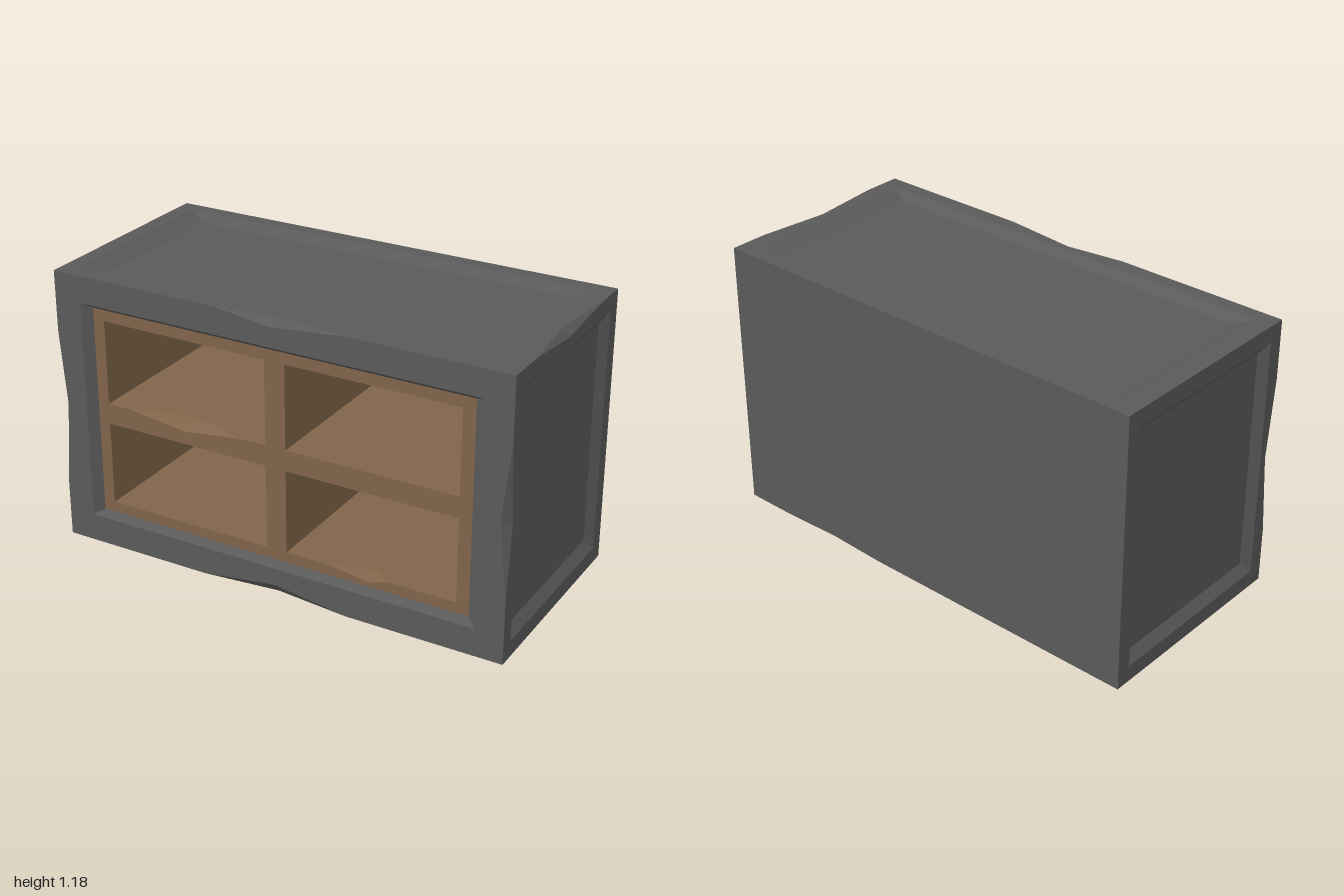
import * as THREE from 'three';
import { mergeGeometries } from 'three/addons/utils/BufferGeometryUtils.js';

const W = 1, H = 1.185, D = 0.465;   // half width, height, half depth
const INSET = 0.03;                  // depth of the recessed panels
const V = (x, y, z) => new THREE.Vector3(x, y, z);

// Flat polygon with holes, wound so that it faces along "out"
function poly(points, out, holes = []) {
  const a = [Math.abs(out.x), Math.abs(out.y), Math.abs(out.z)];
  const drop = a.indexOf(Math.max(...a));
  const to2D = p => new THREE.Vector2(...[p.x, p.y, p.z].filter((_, i) => i !== drop));
  const contour = points.map(to2D);
  const flip = THREE.ShapeUtils.isClockWise(contour);
  const ring = flip ? [...points].reverse() : points;
  const inner = holes.map(h => THREE.ShapeUtils.isClockWise(h.map(to2D)) ? h : [...h].reverse());
  const all = [ring, ...inner].flat();
  const pos = [];
  for (const f of THREE.ShapeUtils.triangulateShape(ring.map(to2D), inner.map(h => h.map(to2D)))) {
    let [p, q, r] = f.map(i => all[i]);
    const n = q.clone().sub(p).cross(r.clone().sub(p));
    if (n.dot(out) < 0) [q, r] = [r, q];
    for (const v of [p, q, r]) pos.push(v.x, v.y, v.z);
  }
  const g = new THREE.BufferGeometry();
  g.setAttribute('position', new THREE.Float32BufferAttribute(pos, 3));
  g.computeVertexNormals();
  return g;
}

// Two facets cut across an edge from a to b, with tips c and d on the two faces
const chipFacets = ({ a, b, c, d }, out) => [poly([a, c, d], out), poly([c, b, d], out)];

// Rectangle corners plus any chip tips that lie along its sides
function notched(corners, notches) {
  const result = [];
  corners.forEach((p, i) => {
    const q = corners[(i + 1) % corners.length], len = p.distanceTo(q);
    result.push(p);
    for (const [a, tip, b] of notches) {
      const onSide = v => Math.abs(p.distanceTo(v) + v.distanceTo(q) - len) < 1e-4;
      if (onSide(a) && onSide(b)) {
        result.push(...(p.distanceTo(a) < p.distanceTo(b) ? [a, tip, b] : [b, tip, a]));
      }
    }
  });
  return result;
}

export function createModel() {
  const group = new THREE.Group();
  const stone = new THREE.MeshStandardMaterial({ color: 0x5a5a5a });
  stone.name = 'dark grey';
  const wood = new THREE.MeshStandardMaterial({ color: 0x80644a });
  wood.name = 'brown wood';
  const add = (name, geos, material) => {
    const mesh = new THREE.Mesh(mergeGeometries(geos), material);
    mesh.name = name;
    group.add(mesh);
  };

  // Chips in the casing edges
  const chips = [
    { a: V(-0.25, H, D), b: V(0.32, H, D), c: V(0, 1.153, D), d: V(0, H, 0.43) },
    { a: V(-0.33, 0, D), b: V(0.33, 0, D), c: V(0, 0.045, D), d: V(0, 0, 0.43) },
    { a: V(W, 0.28, D), b: V(W, 0.92, D), c: V(0.965, 0.59, D), d: V(W, 0.59, 0.432) },
    { a: V(-W, 0.24, D), b: V(-W, 0.93, D), c: V(-0.96, 0.59, D), d: V(-W, 0.59, 0.432) },
    { a: V(W, H, -0.3), b: V(W, H, 0.3), c: V(W, 1.155, 0), d: V(0.967, H, 0) },
    { a: V(0.25, 0, -D), b: V(0.78, 0, -D), c: V(0.5, 0.01, -D), d: V(0.5, 0, -0.42) },
  ];

  // Casing sides: [name, normal, map (u, v, depth) to space, face, recess rim, recess floor]
  const sides = [
    ['frontFrame', V(0, 0, 1), (u, v, d) => V(u, v, D - d),
      [-W, W, 0, H], [-0.88, 0.88, 0.12, 1.07], [-0.84, 0.84, 0.145, 1.048]],
    ['backPanel', V(0, 0, -1), (u, v, d) => V(u, v, d - D), [-W, W, 0, H]],
    ['topPanel', V(0, 1, 0), (u, v, d) => V(u, H - d, v),
      [-W, W, -D, D], [-0.93, 0.93, -0.4, 0.4], [-0.85, 0.85, -0.362, 0.362]],
    ['bottomPanel', V(0, -1, 0), (u, v, d) => V(u, d, v),
      [-W, W, -D, D], [-0.93, 0.93, -0.4, 0.4], [-0.85, 0.85, -0.362, 0.362]],
  ];
  for (const s of [1, -1]) {
    sides.push([s > 0 ? 'leftPanel' : 'rightPanel', V(s, 0, 0), (u, v, d) => V(s * (W - d), v, u),
      [-D, D, 0, H], [-0.4, 0.4, 0.07, 1.115], [-0.362, 0.362, 0.115, 1.07]]);
  }
  const rect = ([u0, u1, v0, v1], map, d) => [map(u0, v0, d), map(u1, v0, d), map(u1, v1, d), map(u0, v1, d)];

  for (const [name, normal, map, face, rim, floor] of sides) {
    const corners = rect(face, map, 0);
    const onFace = v => Math.abs(v.clone().sub(corners[0]).dot(normal)) < 1e-5;
    const notches = chips.filter(k => onFace(k.a) && onFace(k.b))
      .map(k => [k.a, onFace(k.c) ? k.c : k.d, k.b]);
    const outline = notched(corners, notches);
    if (!rim) {
      add(name, [poly(outline, normal)], stone);
      continue;
    }
    const outer = rect(rim, map, 0), inner = rect(floor, map, INSET);
    const geos = [poly(outline, normal, [outer])];
    // sloping sides of the recess
    for (let i = 0; i < 4; i++) {
      const j = (i + 1) % 4;
      geos.push(poly([outer[i], outer[j], inner[j], inner[i]], normal));
    }
    if (name !== 'frontFrame') geos.push(poly(inner, normal));
    add(name, geos, stone);
  }
  add('edgeChips', chips.flatMap(k => chipFacets(k, k.a.clone().add(k.b).sub(V(0, H, 0)))), stone);

  // Wooden shelf front with four deep compartments
  const F = D - INSET, B = -0.42;
  const woodChips = [
    { a: V(-0.69, 0.64, F), b: V(-0.15, 0.64, F), c: V(-0.42, 0.605, F), d: V(-0.42, 0.64, F - 0.07) },
    { a: V(0.23, 0.19, F), b: V(0.49, 0.19, F), c: V(0.415, 0.165, F), d: V(0.415, 0.19, F - 0.06) },
  ];
  const holes = [];
  for (const [x0, x1] of [[-0.79, -0.047], [0.043, 0.786]]) {
    for (const [y0, y1] of [[0.19, 0.55], [0.64, 1.0]]) {
      const front = [V(x0, y0, F), V(x1, y0, F), V(x1, y1, F), V(x0, y1, F)];
      const back = front.map(p => V(p.x, p.y, B));
      const floor = [front[0], front[1], back[1], back[0]];
      holes.push(notched(front, woodChips.map(k => [k.a, k.c, k.b])));
      add('compartment', [
        poly(notched(floor, woodChips.map(k => [k.a, k.d, k.b])), V(0, 1, 0)),
        poly([front[1], front[2], back[2], back[1]], V(-1, 0, 0)),
        poly([front[2], front[3], back[3], back[2]], V(0, -1, 0)),
        poly([front[3], front[0], back[0], back[3]], V(1, 0, 0)),
        poly(back, V(0, 0, 1)),
      ], wood);
    }
  }
  const shelfEdge = [V(-0.84, 0.145, F), V(0.84, 0.145, F), V(0.84, 1.048, F), V(-0.84, 1.048, F)];
  add('shelfFront', [poly(shelfEdge, V(0, 0, 1), holes)], wood);
  add('shelfChips', woodChips.flatMap(k => chipFacets(k, V(0, 1, 1))), wood);

  return group;
}
